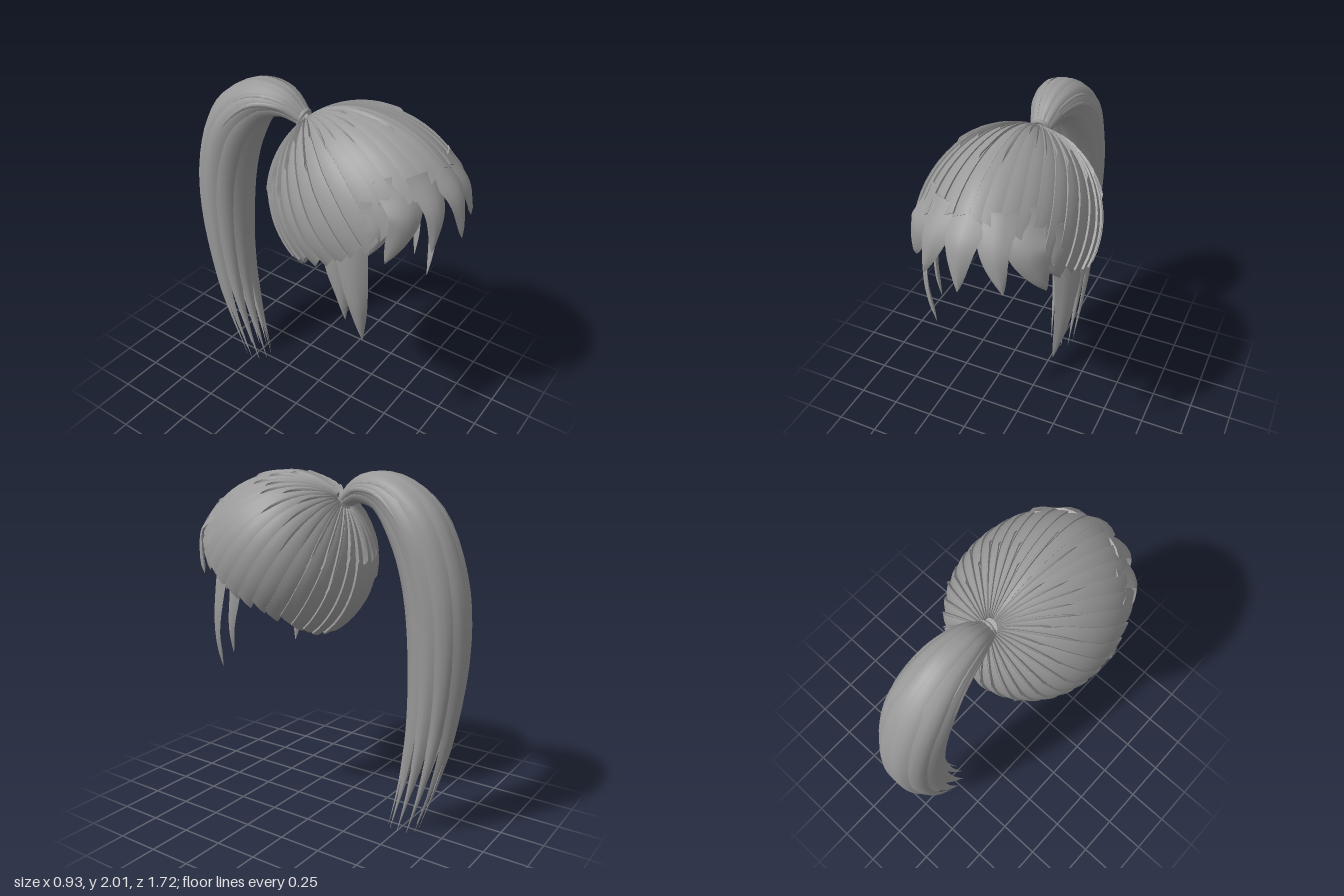
import * as THREE from 'three';
import { toCreasedNormals } from 'three/addons/utils/BufferGeometryUtils.js';

const V = (x, y, z) => new THREE.Vector3(x, y, z);
const rad = THREE.MathUtils.degToRad;
const hair = new THREE.MeshStandardMaterial({ color: 0x999999 });
hair.name = 'hair grey';
const lining = new THREE.MeshStandardMaterial({ color: 0x999999, side: THREE.DoubleSide });
lining.name = 'lining grey';

// Small seeded generator for uneven lock lengths
let seed = 7;
const rand = () => (seed = (seed * 16807) % 2147483647) / 2147483647;

// Skin closed rings of points into a capped solid
function loft(rings, name) {
  const n = rings[0].length, index = [];
  const last = (rings.length - 1) * n;
  for (let i = 0; i < rings.length - 1; i++) {
    for (let j = 0; j < n; j++) {
      const a = i * n + j, b = i * n + (j + 1) % n;
      index.push(a, a + n, b + n, a, b + n, b);
    }
  }
  for (let j = 1; j < n - 1; j++) index.push(0, j, j + 1, last, last + j + 1, last + j);
  const g = new THREE.BufferGeometry().setFromPoints(rings.flat());
  g.setIndex(index);
  const mesh = new THREE.Mesh(toCreasedNormals(g, 0.8), hair);
  mesh.name = name;
  return mesh;
}

// Across-the-lock samples: over the top, then back underneath
const TOP = [-1, -0.5, 0, 0.5, 1], UNDER = [0.5, 0, -0.5];

// Curved lens-section lock following a curve; out(p, t) points away from the head
function lock(name, curve, { width, out, thick = 0.012, curl = 0.15, end = 1, rows = 16 }) {
  const rings = [];
  for (let i = 0; i <= rows; i++) {
    const u = i / rows, t = u * end;
    const p = curve.getPoint(t), tan = curve.getTangent(t);
    const nor = out(p, t);
    nor.addScaledVector(tan, -nor.dot(tan)).normalize();
    const side = nor.clone().cross(tan);
    const w = Math.max(width(u, t), 0.0015), h = Math.min(thick, w * 0.5);
    const at = (s, k) => p.clone().addScaledVector(side, s * w)
      .addScaledVector(nor, -curl * w * s * s + k * h * (1 - s * s));
    rings.push([...TOP.map(s => at(s, 1)), ...UNDER.map(s => at(s, -1))]);
  }
  return loft(rings, name);
}

// Point on the skull: theta from the gathering point, phi round it (0 = front)
function skull(theta, phi, r) {
  const c = Math.cos(theta), f = Math.sin(theta) * Math.cos(phi);
  const x = Math.sin(theta) * Math.sin(phi);
  const y = (c + f) * Math.SQRT1_2, z = (f - c) * Math.SQRT1_2;
  return V(x * r * 0.45, 1.5 + y * r * 0.475, 0.27 + z * r * (z > 0 ? 0.565 : 0.48));
}

// Hairline: how far (degrees) the cap reaches at each angle
const hairline = [[0, 99], [30, 101], [45, 106], [60, 111], [90, 110], [135, 98], [160, 102], [180, 104]];
function reach(phi) {
  const d = Math.min(180, Math.abs(phi) * 180 / Math.PI);
  let i = 1;
  while (i < hairline.length - 1 && hairline[i][0] < d) i++;
  const [a, ra] = hairline[i - 1], [b, rb] = hairline[i];
  return rad(ra + (rb - ra) * (d - a) / (b - a));
}

// One shingled lock of the cap, swept backward as it falls
function capLock(name, phi, half, end, lift, pointed) {
  const rings = [], rows = 16, sign = Math.sign(phi);
  for (let i = 0; i <= rows; i++) {
    const t = i / rows;
    const mid = phi - 0.38 * Math.sin(phi) * (1 - (0.1 + t * (end - 0.1)) / reach(phi));
    const w = pointed ? half * Math.max(0.02, Math.pow(1 - t, 0.6)) : half;
    const at = (s, r) => skull(0.1 + t * (end + s * sign * 0.035 - 0.1), mid + s * w, r);
    const top = s => lift + 0.012 - 0.016 * s * sign + 0.008 * (1 - s * s) + 0.015 * t * t;
    rings.push([...TOP.map(s => at(s, 1 + top(s))), ...UNDER.map(s => at(s * 2, 0.975 + lift))]);
  }
  return loft(rings, name);
}

function buildCap() {
  const cap = new THREE.Group();
  cap.name = 'cap';
  // Smooth lining seen through the face opening
  const g = new THREE.SphereGeometry(1, 64, 24);
  const pos = g.attributes.position, uv = g.attributes.uv;
  for (let i = 0; i < pos.count; i++) {
    let phi = uv.getX(i) * Math.PI * 2 - Math.PI;
    const extra = 0.2 * Math.max(0, 1 - Math.abs(phi) / 0.9);
    const p = skull((1 - uv.getY(i)) * (reach(phi) + extra - 0.01), phi, 0.975);
    pos.setXYZ(i, p.x, p.y, p.z);
  }
  g.computeVertexNormals();
  const inner = new THREE.Mesh(g, lining);
  inner.name = 'capLining';
  cap.add(inner);
  // Long locks, then short pointed ones near the gathering point
  for (let i = 0; i < 18; i++) {
    const phi = rad(i * 10 + 5), end = reach(phi) + (rand() - 0.5) * 0.05;
    const short = 0.55 + rand() * 0.65;
    for (const s of [1, -1]) {
      cap.add(capLock('capLock', s * phi, rad(6.2), end, 0, false));
      cap.add(capLock('shortCapLock', s * (phi + 0.07), rad(3.5), short, 0.012, true));
    }
  }
  return cap;
}

// Fringe and side locks: path points, starting half width
const fringe = [
  ['fringeLock', [[0.12, 1.82, 0.68], [0.16, 1.66, 0.79], [0.21, 1.47, 0.81]], 0.1],
  ['outerFringeLock', [[0.22, 1.82, 0.59], [0.28, 1.66, 0.7], [0.33, 1.53, 0.68], [0.355, 1.42, 0.64]], 0.11],
  ['templeLock', [[0.32, 1.72, 0.57], [0.365, 1.58, 0.6], [0.39, 1.45, 0.56]], 0.09],
  ['sideLock', [[0.39, 1.56, 0.46], [0.405, 1.36, 0.49], [0.395, 1.12, 0.525], [0.35, 0.88, 0.53]], 0.09],
  ['rearSideLock', [[0.4, 1.5, 0.36], [0.405, 1.32, 0.385], [0.39, 1.15, 0.42], [0.365, 0.98, 0.43]], 0.065],
];
function buildFringe() {
  const group = new THREE.Group();
  group.name = 'fringe';
  const add = (name, pts, w, s) => group.add(lock(name,
    new THREE.CatmullRomCurve3(pts.map(p => V(p[0] * s, p[1], p[2]))), {
      width: u => w * Math.pow(1 - u, 0.85) * (1 + 0.5 * u),
      out: p => V(p.x, 0, p.z - 0.25),
    }));
  add('centreFringeLock', [[0, 1.83, 0.68], [0, 1.68, 0.82], [0, 1.46, 0.865]], 0.11, 1);
  for (const [name, pts, w] of fringe) for (const s of [1, -1]) add(name, pts, w, s);
  return group;
}

// Ponytail stations: inner z, y, outer z, y, half width
const tail = [
  [-0.07, 1.80, -0.08, 1.88, 0.04], [-0.19, 1.84, -0.21, 1.98, 0.09],
  [-0.31, 1.80, -0.42, 1.985, 0.135], [-0.40, 1.65, -0.66, 1.83, 0.17],
  [-0.48, 1.40, -0.81, 1.50, 0.17], [-0.52, 1.05, -0.85, 1.15, 0.155],
  [-0.52, 0.60, -0.80, 0.70, 0.13], [-0.48, 0.30, -0.71, 0.33, 0.11],
  [-0.41, 0, -0.60, 0, 0.085],
];
const tailCurve = (a, k) => new THREE.CatmullRomCurve3(tail.map(([zi, yi, zo, yo, w]) => {
  const c = 0.5 + 0.5 * k * Math.cos(a);
  return V(Math.sin(a) * k * w, yi + (yo - yi) * c, zi + (zo - zi) * c);
}));
function buildPonytail() {
  const group = new THREE.Group();
  group.name = 'ponytail';
  const middle = tailCurve(0, 0);
  const halfWidth = t => {
    const f = t * 8, i = Math.min(7, Math.floor(f));
    return tail[i][4] + (tail[i + 1][4] - tail[i][4]) * (f - i);
  };
  const add = (name, a, k, w, taper, end) => group.add(lock(name, tailCurve(a, k), {
    width: (u, t) => halfWidth(t) * w * Math.pow(Math.min(1, (1 - u) / taper), 0.9),
    out: (p, t) => p.clone().sub(middle.getPoint(t)),
    thick: 0.014, curl: 0.25, end, rows: 32,
  }));
  // Ring of full-length locks with a parting front and back
  for (let i = 0; i < 10; i++) add('tailLock', (i + 0.5) / 10 * Math.PI * 2, 0.94, 0.46, 0.4, 1);
  // Short tufts lying over the bend
  [[0.25, 0.27], [0.7, 0.36], [1.15, 0.3], [1.6, 0.42]].forEach(([a, end]) => {
    for (const s of [1, -1]) add('tailTuft', s * a, 1, 0.24, 0.7, end);
  });
  // Band at the root
  const band = new THREE.Mesh(new THREE.TorusGeometry(0.046, 0.011, 8, 24), hair);
  band.name = 'hairTie';
  band.position.set(0, 1.845, -0.095);
  band.rotation.x = 0.35;
  group.add(band);
  return group;
}

export function createModel() {
  seed = 7;
  const model = new THREE.Group();
  model.name = 'ponytailHair';
  model.add(buildCap(), buildFringe(), buildPonytail());
  return model;
}
